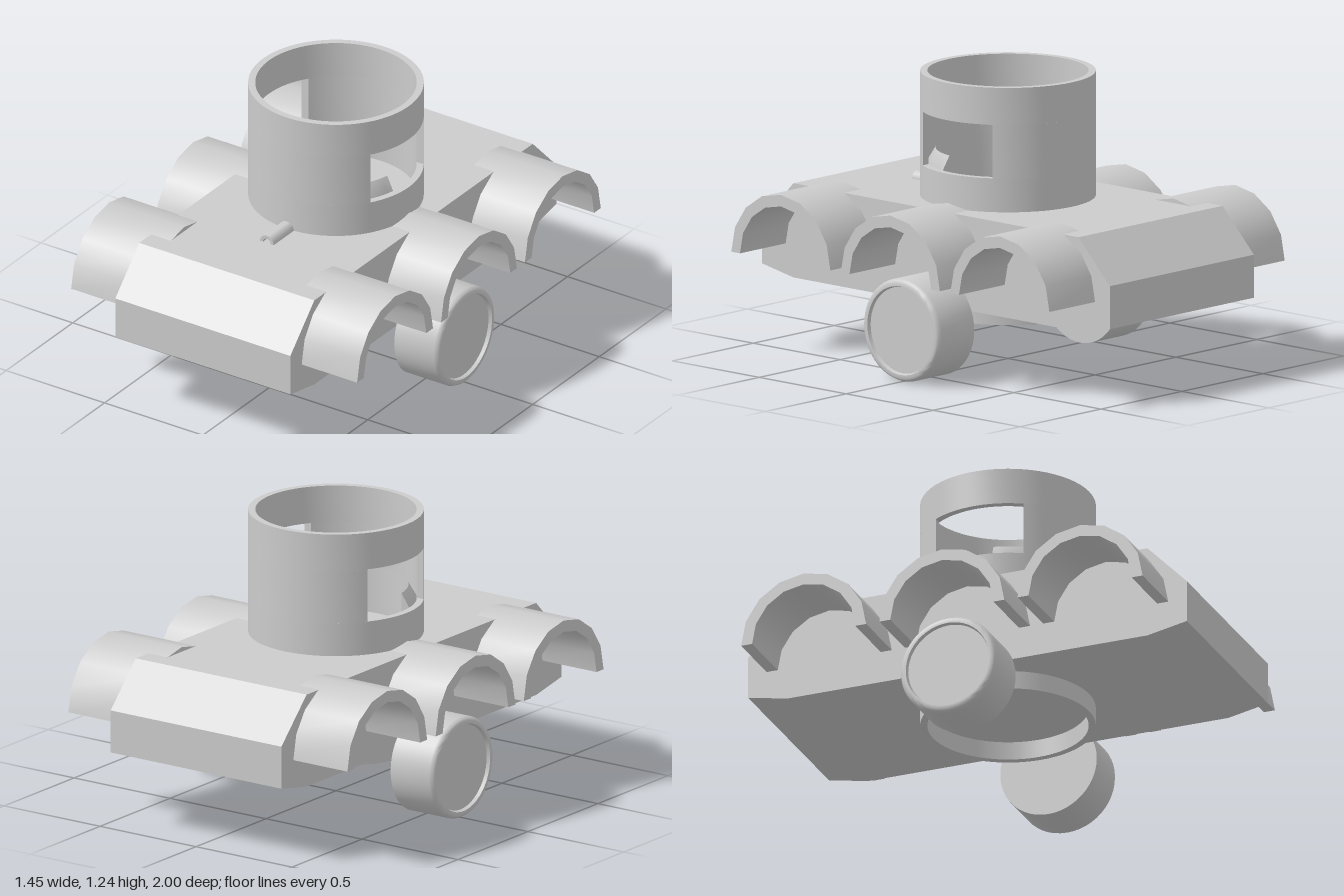
import * as THREE from 'three';
import { toCreasedNormals } from 'three/addons/utils/BufferGeometryUtils.js';

const material = new THREE.MeshStandardMaterial({ color: 0xcccccc, side: THREE.DoubleSide });

function addPart(parent, name, geometry, crease = 0.6) {
  const mesh = new THREE.Mesh(toCreasedNormals(geometry, crease), material);
  mesh.name = name;
  parent.add(mesh);
  return mesh;
}

const polar = (r, a) => new THREE.Vector2(r * Math.cos(a), r * Math.sin(a));

// Points of an arc band: out along the outer radius, back along the inner one
function bandShape(outer, inner, a0, a1, b0, b1, n) {
  const pts = [];
  for (let i = 0; i <= n; i++) pts.push(polar(outer, a0 + (a1 - a0) * i / n));
  for (let i = n; i >= 0; i--) pts.push(polar(inner, b0 + (b1 - b0) * i / n));
  return new THREE.Shape(pts);
}

const extrude = (shape, depth) =>
  new THREE.ExtrudeGeometry(shape, { depth, bevelEnabled: false, curveSegments: 48 });

// Side profile swept along x, from x0 to x1
const acrossX = (shape, x0, x1) =>
  extrude(shape, x1 - x0).rotateY(Math.PI / 2).translate(x0, 0, 0);

// Plan outline raised along y, from y0 to y1
const upY = (shape, y0, y1) =>
  extrude(shape, y1 - y0).rotateX(-Math.PI / 2).translate(0, y0, 0);

export function createModel() {
  const model = new THREE.Group();
  model.name = 'vehicle';

  // Hull with sloping ends
  const hull = new THREE.Shape([
    [-1, 0.335], [-0.82, 0.3], [0.82, 0.3], [1, 0.335],
    [1, 0.52], [0.82, 0.705], [-0.82, 0.705], [-1, 0.52],
  ].map(([z, y]) => new THREE.Vector2(z, y)));
  addPart(model, 'hull', acrossX(hull, -0.445, 0.445), 0.1);

  // Turret tube: lower ring, two wall arcs beside the windows, upper ring
  const turret = new THREE.Group();
  turret.name = 'turret';
  model.add(turret);
  const R = 0.37, r = 0.34, windowHalf = 0.2;
  const ring = new THREE.Shape().absarc(0, 0, R, 0, Math.PI * 2);
  ring.holes.push(new THREE.Path().absarc(0, 0, r, 0, Math.PI * 2, true));
  addPart(turret, 'lowerRing', upY(ring, 0.22, 0.85));
  addPart(turret, 'upperRing', upY(ring, 1.08, 1.24));
  const a = Math.asin(windowHalf / R), b = Math.asin(windowHalf / r);
  const wall = bandShape(R, r, a, Math.PI - a, b, Math.PI - b, 32);
  addPart(turret, 'backWall', upY(wall, 0.85, 1.08));
  addPart(turret, 'frontWall', upY(wall, 0.85, 1.08).rotateY(Math.PI));

  // Curved ledge inside the front half of the turret
  const ledge = [[0.34, 0.7], [0.34, 0.85], [0.305, 0.91], [0.305, 0.7]]
    .map(([x, y]) => new THREE.Vector2(x, y));
  const half = 1.38;
  addPart(turret, 'ledge', new THREE.LatheGeometry([...ledge, ledge[0]], 32, -half, half * 2));
  for (const phi of [-half, half]) {
    addPart(turret, 'ledgeEnd',
      new THREE.ShapeGeometry(new THREE.Shape(ledge)).rotateY(phi - Math.PI / 2));
  }

  // Short half-pipe in front of the turret
  const pipe = bandShape(0.035, 0.02, 0, Math.PI, 0, Math.PI, 12);
  addPart(model, 'frontPipe', extrude(pipe, 0.165).translate(0, 0.705, 0.355));

  // Three arched fenders and one wheel on each side
  const fender = bandShape(0.285, 0.235, 0, Math.PI, 0, Math.PI, 8);
  const wheel = [[0, 0], [0.22, 0], [0.22, 0.2], [0.213, 0.215], [0.205, 0.22], [0.19, 0.22], [0.185, 0.205], [0, 0.205]]
    .map(([x, y]) => new THREE.Vector2(x, y));
  for (const side of [1, -1]) {
    for (const z of [-0.63, 0, 0.63]) {
      const arch = addPart(model, side > 0 ? 'leftFender' : 'rightFender',
        acrossX(fender, 0.345, 0.727));
      arch.position.set(0, 0.44, z);
      arch.rotation.y = side > 0 ? 0 : Math.PI;
    }
    const disc = addPart(model, side > 0 ? 'leftWheel' : 'rightWheel',
      new THREE.LatheGeometry(wheel, 48).rotateZ(-Math.PI / 2).translate(0.445, 0, 0), 0.9);
    disc.position.y = 0.22;
    disc.rotation.y = side > 0 ? 0 : Math.PI;
  }
  return model;
}
